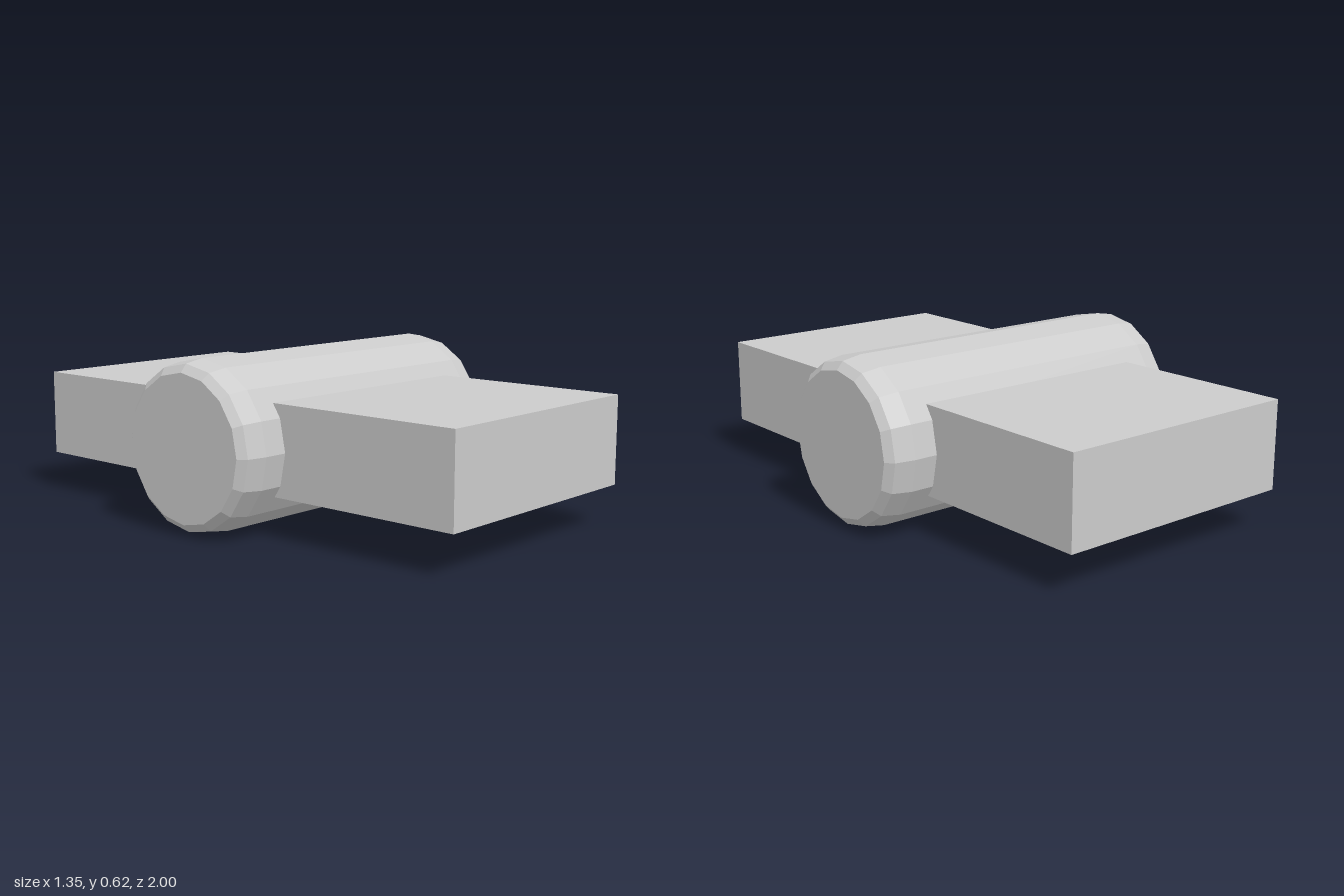
import * as THREE from 'three';

export function createModel() {
  const group = new THREE.Group();
  const material = new THREE.MeshStandardMaterial({ color: 0xcccccc, flatShading: true });

  // Sixteen-sided barrel lying across x, with two-step bevelled ends
  const half = [[0.31, 0.575], [0.297, 0.65], [0.268, 0.675], [0, 0.675]];
  const profile = [
    ...half.map(([r, h]) => new THREE.Vector2(r, -h)).reverse(),
    ...half.map(([r, h]) => new THREE.Vector2(r, h)),
  ];
  const barrel = new THREE.Mesh(new THREE.LatheGeometry(profile, 16), material);
  barrel.name = 'barrel';
  barrel.rotation.z = Math.PI / 2;
  barrel.position.set(0, 0.311, -0.022);
  group.add(barrel);

  // Flat bar passing through the barrel from front to back
  const bar = new THREE.Mesh(new THREE.BoxGeometry(0.97, 0.328, 2), material);
  bar.name = 'crossBar';
  bar.position.set(0, 0.315, 0);
  group.add(bar);

  return group;
}
